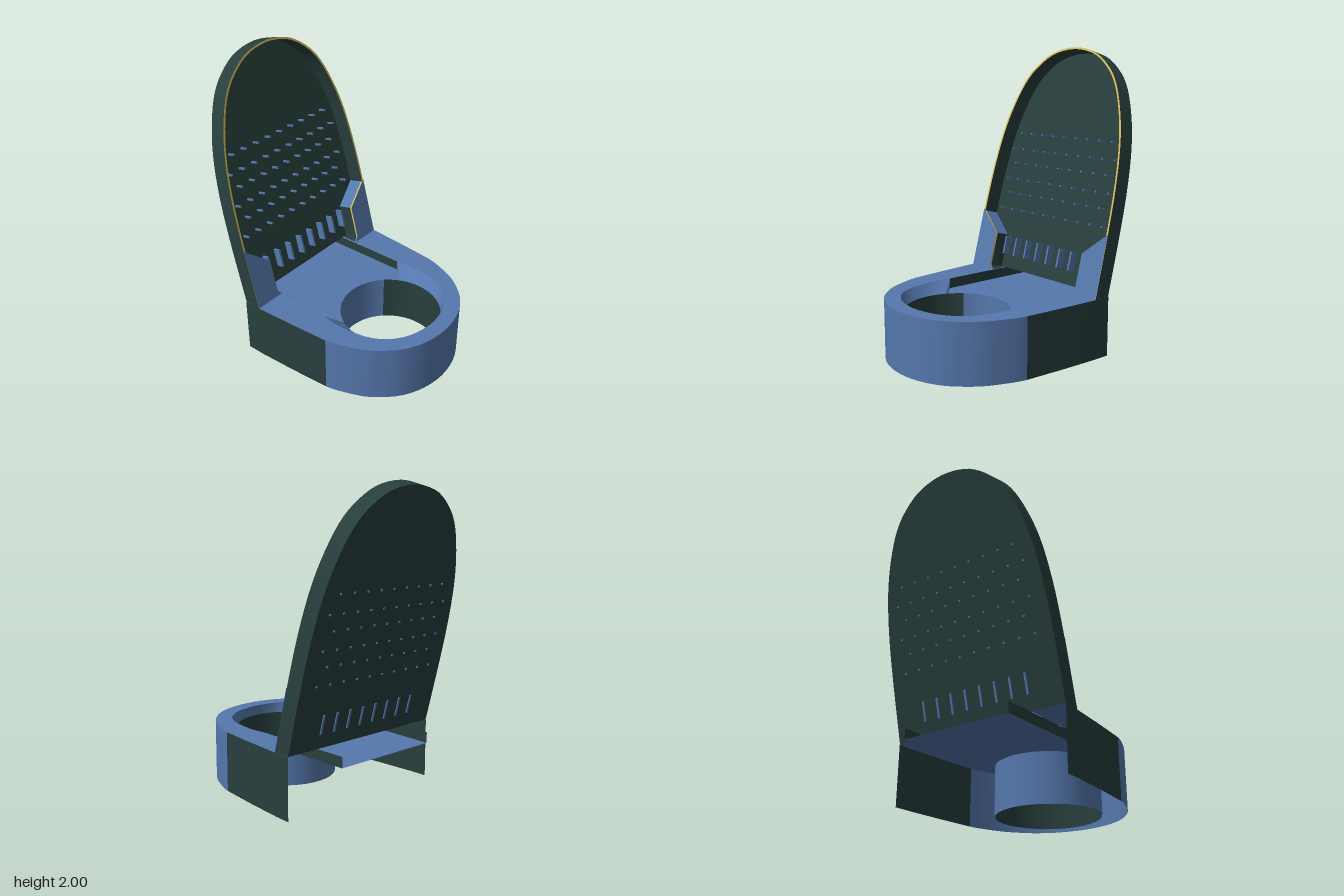
import * as THREE from 'three';

const mat = (name, color) => new THREE.MeshStandardMaterial({ name, color, side: THREE.DoubleSide });
const V = (x, y, z) => new THREE.Vector3(x, y, z);
const V2 = (x, y) => new THREE.Vector2(x, y);

const TOP = 0.4, FLOOR = 0.33, TILT = 0.2575, DEPTH = 0.115;
const HOLE_Z = 0.365, HOLE_R = 0.34;

// point on the tilted back: x, height t along the tilt, depth d behind its front plane
function onBack(x, t, d) {
  const s = t < 0.001 ? d * Math.tan(TILT) : t; // bottom is cut level
  return V(x, TOP + s * Math.cos(TILT) - d * Math.sin(TILT),
    -0.27 - s * Math.sin(TILT) - d * Math.cos(TILT));
}
const alongTilt = (y) => (y - TOP) / Math.cos(TILT);

// surface between two matching rows of points
function ribbon(a, b) {
  const pos = [], idx = [];
  a.forEach((p, i) => {
    pos.push(...p.toArray(), ...b[i].toArray());
    if (i) idx.push(2 * i - 2, 2 * i, 2 * i - 1, 2 * i - 1, 2 * i, 2 * i + 1);
  });
  const g = new THREE.BufferGeometry();
  g.setAttribute('position', new THREE.Float32BufferAttribute(pos, 3));
  g.setIndex(idx);
  g.computeVertexNormals();
  return g;
}

// flat outline carried into space by a rule
function sheet(points, rule) {
  const g = new THREE.ShapeGeometry(new THREE.Shape(points));
  const p = g.attributes.position;
  for (let i = 0; i < p.count; i++) p.setXYZ(i, ...rule(p.getX(i), p.getY(i)).toArray());
  g.computeVertexNormals();
  return g;
}

const mirrored = (half) => [...half, ...half.slice(0, -1).reverse().map((p) => V2(-p.x, p.y))];

export function createModel() {
  const model = new THREE.Group();
  const blue = mat('blue', 0x5578ad);
  const dark = mat('dark green', 0x283f3d);
  const yellow = mat('yellow trim', 0xd6bb58);
  const add = (name, geo, m, parent = model) => {
    const mesh = new THREE.Mesh(geo, m);
    mesh.name = name;
    parent.add(mesh);
    return mesh;
  };
  const level = (pts, y) => pts.map((p) => V(p.x, y, p.y));

  // base: outer wall, dark flanks and blue rounded front (points are x, z)
  const flank = [V2(0.62, -0.39), V2(0.618, -0.27), V2(0.6, 0), V2(0.575, 0.28)];
  const bow = new THREE.SplineCurve(mirrored([V2(0.575, 0.28), V2(0.555, 0.36), V2(0.49, 0.52),
    V2(0.41, 0.63), V2(0.31, 0.72), V2(0.17, 0.785), V2(0, 0.81)])).getPoints(36);
  add('baseFront', ribbon(level(bow, 0), level(bow, TOP)), blue);
  for (const s of [1, -1]) {
    const side = flank.map((p) => V2(p.x * s, p.y));
    add('baseFlank', ribbon(level(side, 0), level(side, TOP)), dark);
  }

  // base: top deck around the opening
  const lip = new THREE.SplineCurve(mirrored([V2(0.4, 0.12), V2(0.412, 0.22), V2(0.405, 0.33),
    V2(0.38, 0.46), V2(0.32, 0.57), V2(0.22, 0.65), V2(0.11, 0.69), V2(0, 0.705)])).getPoints(48);
  const deck = [...flank, ...bow.slice(1, -1),
    ...flank.map((p) => V2(-p.x, p.y)).reverse(),
    V2(-0.387, -0.39), ...lip.slice().reverse(), V2(0.387, -0.39)];
  add('deck', sheet(deck, (x, z) => V(x, TOP, z)), blue);

  // round well: sloped collar and open tube
  const START = Math.acos((0.21 - HOLE_Z) / HOLE_R);
  const ring = (a) => V2(HOLE_R * Math.sin(a), HOLE_Z + HOLE_R * Math.cos(a));
  const collar = lip.map((_, i) => ring(START * (1 - 2 * i / (lip.length - 1))));
  const ends = [V2(0.4, 0.12), V2(-0.4, 0.12)];
  add('wellCollar', ribbon(level([ends[0], ...lip, ends[1]], TOP),
    level([ends[0], ...collar, ends[1]], FLOOR)), blue);
  const tube = (name, r, from, length, m) => add(name, new THREE.CylinderGeometry(
    r, r, FLOOR, 40, 1, true, from, length).translate(0, FLOOR / 2, HOLE_Z), m);
  tube('wellOuter', HOLE_R + 0.005, 0, Math.PI * 2, blue);
  tube('wellInnerFront', HOLE_R, -Math.PI * 0.75, Math.PI * 1.5, dark);
  tube('wellInnerBack', HOLE_R, Math.PI * 0.75, Math.PI * 0.5, blue);

  // tray floor running out behind the back, with side walls
  const arc = [];
  for (let i = 0; i <= 24; i++) arc.push(ring(START + (2 * Math.PI - 2 * START) * i / 24));
  add('trayFloor', sheet([V2(-0.38, -0.6), V2(0.38, -0.6), V2(0.4, 0.12), ...arc, V2(-0.4, 0.12)],
    (x, z) => V(x, FLOOR, z)), blue);
  for (const s of [1, -1]) {
    const edge = [V2(0.38 * s, -0.6), V2(0.4 * s, 0.12)];
    add('trayWall', ribbon(level(edge, FLOOR), level(edge, TOP)), dark);
  }

  // tilted back: rear panel, thin surrounding wall and yellow front rim
  const arch = new THREE.SplineCurve(mirrored([[0.618, 0.4], [0.614, 0.85], [0.6, 1.15], [0.567, 1.4],
    [0.51, 1.6], [0.43, 1.77], [0.33, 1.88], [0.19, 1.965], [0, 1.998]]
    .map(([x, y]) => V2(x, alongTilt(y))))).getPoints(56);
  arch[0].y = arch[arch.length - 1].y = 0;
  const inner = arch.map((p) => V2(p.x * 0.978, p.y * 0.992));
  const row = (pts, d) => pts.map((p) => onBack(p.x, p.y, d));
  const back = new THREE.Group();
  back.name = 'back';
  model.add(back);
  add('backPanel', sheet(arch, (x, t) => onBack(x, t, DEPTH)), dark, back);
  add('backWallOuter', ribbon(row(arch, 0), row(arch, DEPTH)), dark, back);
  add('backWallInner', ribbon(row(inner, 0), row(inner, DEPTH)), dark, back);
  add('backRim', ribbon(row(arch, 0), row(inner, 0)), yellow, back);

  // corner gussets joining back and base
  for (const s of [1, -1]) {
    const [foot, low, high, peak] = [[0.4, 0.4], [0.43, 0.43], [0.43, 0.66], [0.616, 0.81]]
      .map(([x, y]) => V2(x * s, alongTilt(y)));
    add('gussetFace', sheet([foot, low, high, peak, V2(0.618 * s, 0)],
      (x, t) => onBack(x, t, -0.003)), blue, back);
    const top = [high, peak], side = [foot, low, high];
    add('gussetTop', ribbon(row(top, 0.01), row(top, DEPTH)), blue, back);
    add('gussetSide', ribbon(row(side, 0.01), row(side, DEPTH)), dark, back);
    const edge = [low, high, peak];
    add('gussetTrim', ribbon(row(edge, -0.003), row(edge, 0.01)), yellow, back);
  }

  // small pegs in staggered rows and a row of fins, all through the panel
  const stud = (name, x, y, w, h) => {
    const m = add(name, new THREE.BoxGeometry(w, h, 0.06), blue, back);
    m.position.set(x, y, -0.39 - (y - TOP) * Math.tan(TILT) + 0.025);
    m.rotation.x = -TILT;
  };
  [0.825, 0.94, 1.04, 1.155, 1.255, 1.37].forEach((y, r) => {
    const n = r % 2 ? 9 : 10;
    for (let i = 0; i < n; i++) stud('peg', (i - (n - 1) / 2) * 0.11, y, 0.012, 0.012);
  });
  for (let i = 0; i < 8; i++) stud('fin', (i - 3.5) * 0.11, 0.565, 0.014, 0.13);

  return model;
}
